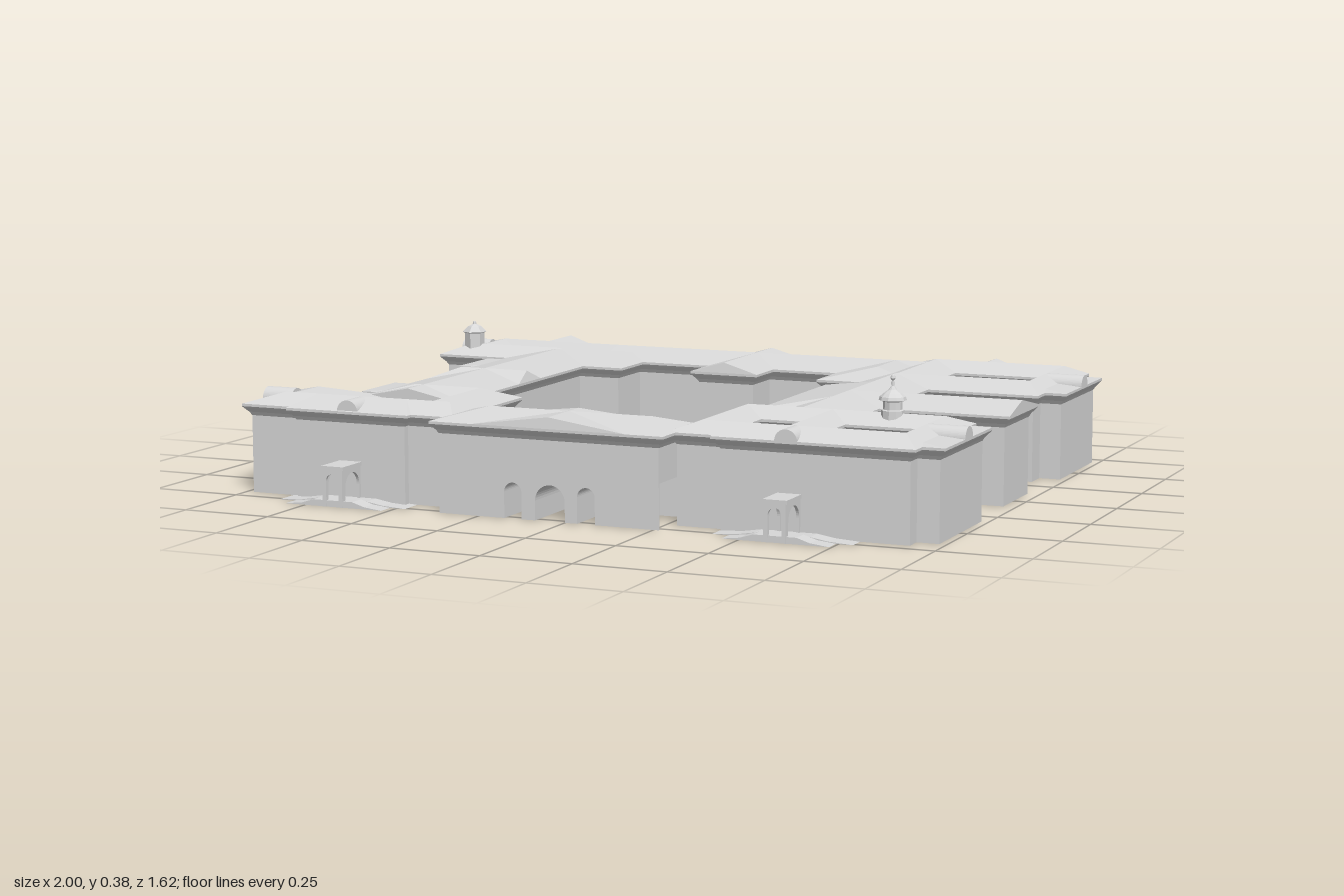
import * as THREE from 'three';

const stone = new THREE.MeshStandardMaterial({ color: 0xd8d8d8, side: THREE.DoubleSide });
stone.name = 'pale grey stone';

const INSET = 0.02; // eave overhang

// Each wing: eave outline x0, x1, z0, z1, then a ridge along an axis at position r
// from a to b, then optional ridge height and wall base.
const wings = {
  // back left court
  backLeftNorthWing: [-1, -0.48, -0.8, -0.61, 'x', -0.64, -0.88, -0.5],
  backLeftGable: [-0.81, -0.65, -0.8, -0.62, 'z', -0.73, -0.795, -0.64, 0.275, 0.2],
  backLeftWestWing: [-1, -0.83, -0.8, -0.433, 'z', -0.88, -0.64, -0.5],
  backLeftSouthWing: [-1, -0.48, -0.53, -0.433, 'x', -0.5, -0.92, -0.5],
  backLeftEastWing: [-0.62, -0.48, -0.8, -0.433, 'z', -0.58, -0.64, -0.5],
  // back range
  backWing: [-0.5, 0.5, -0.765, -0.51, 'x', -0.64, -0.5, 0.5],
  backCentreWing: [-0.145, 0.065, -0.765, -0.38, 'z', -0.04, -0.76, -0.385],
  backLeftCorner: [-0.64, -0.355, -0.7, -0.355, 'x', -0.5, -0.62, -0.48],
  backRightCorner: [0.26, 0.58, -0.765, -0.355, 'z', 0.4, -0.64, -0.48],
  // back right court
  backRightNorthWing: [0.39, 0.94, -0.795, -0.65, 'x', -0.71, 0.5, 0.89],
  backRightGable: [0.58, 0.74, -0.795, -0.69, 'z', 0.66, -0.79, -0.71, 0.275, 0.2],
  backRightSouthWing: [0.39, 0.94, -0.43, -0.29, 'x', -0.375, 0.5, 0.89],
  backRightWestWing: [0.39, 0.58, -0.795, -0.29, 'z', 0.5, -0.71, -0.375],
  backRightEastWing: [0.83, 0.94, -0.795, -0.29, 'z', 0.89, -0.71, -0.375],
  backRightBay: [0.86, 1, -0.72, -0.36, 'z', 0.92, -0.68, -0.4, 0.252],
  // left range
  leftWing: [-0.775, -0.48, -0.48, 0.46, 'z', -0.625, -0.48, 0.46],
  leftCrossGable: [-0.775, -0.48, -0.07, 0.07, 'x', 0, -0.7, -0.49, 0.275, 0.2],
  leftNorthBay: [-0.82, -0.7, -0.4, -0.21, 'z', -0.73, -0.36, -0.25, 0.25],
  leftSouthBay: [-0.82, -0.7, 0.18, 0.37, 'z', -0.73, 0.22, 0.33, 0.25],
  // right range
  rightWing: [0.39, 0.62, -0.375, 0.355, 'z', 0.495, -0.375, 0.355],
  rightInnerBay: [0.32, 0.6, -0.27, 0.225, 'z', 0.495, -0.18, 0.14],
  rightMiddleWing: [0.495, 0.985, -0.145, 0.11, 'x', 0, 0.495, 0.985],
  // front left court
  frontLeftSouthWing: [-1, -0.355, 0.52, 0.71, 'x', 0.64, -0.9, -0.4],
  frontLeftProjection: [-0.85, -0.48, 0.54, 0.73, 'x', 0.64, -0.8, -0.53],
  frontLeftWestWing: [-1, -0.7, 0.42, 0.71, 'z', -0.87, 0.52, 0.64],
  frontLeftNorthWing: [-0.77, -0.355, 0.3, 0.43, 'x', 0.37, -0.65, -0.45],
  frontLeftEastWing: [-0.54, -0.355, 0.3, 0.71, 'z', -0.45, 0.37, 0.64],
  // front range, raised on the arcade
  frontWing: [-0.385, 0.285, 0.55, 0.79, 'x', 0.66, -0.27, 0.2, 0.275, 0.12],
  frontCentreGable: [-0.26, 0.18, 0.55, 0.79, 'z', -0.04, 0.6, 0.785, 0.275, 0.12],
  // front right courts
  frontRightSouthWing: [0.39, 0.94, 0.59, 0.73, 'x', 0.66, 0.39, 0.89],
  frontRightLink: [0.26, 0.45, 0.59, 0.71, 'x', 0.66, 0.34, 0.45],
  frontRightNorthWing: [0.26, 0.94, 0.305, 0.41, 'x', 0.355, 0.34, 0.89],
  frontRightNorthBay: [0.62, 0.94, 0.255, 0.41, 'x', 0.355, 0.66, 0.89],
  frontRightWestWing: [0.26, 0.4, 0.305, 0.71, 'z', 0.34, 0.355, 0.66],
  frontRightMiddleWing: [0.53, 0.635, 0.33, 0.7, 'z', 0.58, 0.355, 0.66],
  frontRightEastWing: [0.83, 0.94, 0.255, 0.73, 'z', 0.89, 0.355, 0.66],
  frontRightBay: [0.86, 1, 0.305, 0.68, 'z', 0.92, 0.34, 0.64, 0.252],
};

// True where a wall point lies inside another wing
const buried = (x, z) => Object.values(wings).some(([x0, x1, z0, z1]) => {
  const i = INSET + 0.001;
  return x > x0 + i && x < x1 - i && z > z0 + i && z < z1 - i;
});

// Walls, flared cornice and ridged roof; wall stretches inside other wings are left out
function wingGeometry(x0, x1, z0, z1, axis, r, a, b, top = 0.275, base = 0) {
  const pos = [];
  const tri = (...p) => p.forEach((v) => pos.push(...v));
  const quad = (p, q, s, t) => tri(p, q, s, p, s, t);
  const mix = (p, q, t) => p.map((v, i) => v + (q[i] - v) * t);
  const loops = [[INSET, base], [INSET, 0.212], [0.014, 0.222], [0.003, 0.234], [0, 0.238], [0, 0.245]].map(
    ([i, y]) => [[x0 + i, y, z1 - i], [x1 - i, y, z1 - i], [x1 - i, y, z0 + i], [x0 + i, y, z0 + i]]);
  for (let i = 0; i < 4; i++) {
    const j = (i + 1) % 4, p = loops[0][i], q = loops[0][j];
    const k = i % 2 ? 2 : 0; // the edge runs along z or x
    const cuts = [0, 1];
    for (const w of Object.values(wings)) {
      const [lo, hi] = k ? [w[2], w[3]] : [w[0], w[1]];
      for (const v of [lo + INSET, hi - INSET]) {
        const t = (v - p[k]) / (q[k] - p[k]);
        if (t > 0 && t < 1) cuts.push(t);
      }
    }
    cuts.sort((s, t) => s - t);
    for (let c = 0; c < cuts.length - 1; c++) {
      const s = cuts[c], t = cuts[c + 1];
      const m = mix(p, q, (s + t) / 2);
      if (t - s < 1e-5 || buried(m[0], m[2])) continue;
      for (let n = 0; n < loops.length - 1; n++) {
        const lower = loops[n], upper = loops[n + 1];
        quad(mix(lower[i], lower[j], s), mix(lower[i], lower[j], t),
          mix(upper[i], upper[j], t), mix(upper[i], upper[j], s));
      }
    }
  }
  const [c0, c1, c2, c3] = loops[loops.length - 1];
  if (axis === 'x') {
    const P = [a, top, r], Q = [b, top, r];
    quad(c0, c1, Q, P); tri(c1, c2, Q); quad(c2, c3, P, Q); tri(c3, c0, P);
  } else {
    const P = [r, top, a], Q = [r, top, b];
    tri(c0, c1, Q); quad(c1, c2, P, Q); tri(c2, c3, P); quad(c3, c0, Q, P);
  }
  const g = new THREE.BufferGeometry();
  g.setAttribute('position', new THREE.Float32BufferAttribute(pos, 3));
  g.computeVertexNormals();
  return g;
}

// Upright panel with arched openings cut up from the ground; arches: [centre, width, height]
function archPanel(x0, x1, h, arches, depth) {
  const s = new THREE.Shape();
  s.moveTo(x0, 0);
  for (const [c, w, t] of arches) {
    const r = w / 2;
    s.lineTo(c - r, 0);
    s.lineTo(c - r, t - r);
    s.absarc(c, t - r, r, Math.PI, 0, true);
    s.lineTo(c + r, 0);
  }
  s.lineTo(x1, 0);
  s.lineTo(x1, h);
  s.lineTo(x0, h);
  return new THREE.ExtrudeGeometry(s, { depth, bevelEnabled: false, curveSegments: 10 });
}

export function createModel() {
  const model = new THREE.Group();
  model.name = 'palace';
  const add = (name, g, x = 0, y = 0, z = 0, parent = model) => {
    const m = new THREE.Mesh(g, stone);
    m.name = name;
    m.position.set(x, y, z);
    parent.add(m);
  };

  for (const [name, args] of Object.entries(wings)) add(name, wingGeometry(...args));

  // carriage arches: front and courtyard walls joined by vaulted passages
  const arches = [[-0.15, 0.05, 0.095], [-0.043, 0.085, 0.095], [0.06, 0.05, 0.095]];
  for (const z of [0.57, 0.765]) add('arcadeWall', archPanel(-0.365, 0.265, 0.13, arches, 0.005), 0, 0, z);
  for (const [c, w, t] of arches)
    add('passage', archPanel(c - w / 2 - 0.004, c + w / 2 + 0.004, t + 0.004, [[c, w, t]], 0.19), 0, 0, 0.575);

  // arched dormers
  const dormer = (x, z, len, alongX) => {
    const s = new THREE.Shape();
    s.absarc(0, 0, 0.031, 0, Math.PI, false);
    const g = new THREE.ExtrudeGeometry(s, { depth: len, bevelEnabled: false, curveSegments: 12 });
    g.translate(0, 0, -len / 2);
    if (alongX) g.rotateY(Math.PI / 2);
    add('dormer', g, x, 0.244, z);
  };
  dormer(-0.665, 0.685, 0.08, false);
  dormer(0.595, 0.69, 0.08, false);
  for (const [x, z] of [[0.945, -0.54], [0.945, 0.495], [-0.955, -0.61], [-0.955, 0.57]])
    dormer(x, z, x > 0 ? 0.11 : 0.09, true);

  // porticoes: arched front and sides, slab on top, and carriage ramps [half width, near, far, height]
  const portico = (name, x, z, turn, w, bays, near, far, ramps = []) => {
    const p = new THREE.Group();
    p.name = name;
    p.position.set(x, 0, z);
    p.rotation.y = turn;
    model.add(p);
    const pitch = w / bays, depth = far - near, mid = (near + far) / 2;
    const openings = Array.from({ length: bays }, (_, i) => [-w / 2 + pitch * (i + 0.5), pitch * 0.62, 0.088]);
    add('porticoFront', archPanel(-w / 2, w / 2, 0.1, openings, 0.008), 0, 0, far - 0.008, p);
    for (const s of [-1, 1]) {
      const side = archPanel(-depth / 2, depth / 2, 0.1, [[0, depth * 0.68, 0.088]], 0.008);
      side.rotateY(Math.PI / 2);
      add('porticoSide', side, s * (w / 2 - 0.004) - 0.004, 0, mid, p);
    }
    add('porticoTop', new THREE.BoxGeometry(w + 0.006, 0.01, depth), 0, 0.104, mid, p);
    for (const [half, from, to, h] of ramps) {
      const s = new THREE.Shape([[-1, 0], [1, 0], [0.65, 0.35], [0.4, 1], [-0.4, 1], [-0.65, 0.35]]
        .map(([u, v]) => new THREE.Vector2(u * half, v * h)));
      add('ramp', new THREE.ExtrudeGeometry(s, { depth: to - from, bevelEnabled: false }), 0, 0, from, p);
    }
  };
  const frontRamps = [[0.19, 0, 0.07, 0.012], [0.145, 0.07, 0.118, 0.017]];
  portico('frontLeftPortico', -0.665, 0.69, 0, 0.06, 1, 0.01, 0.12, frontRamps);
  portico('frontRightPortico', 0.598, 0.69, 0, 0.06, 1, 0.01, 0.12, frontRamps);
  portico('leftPortico', -0.745, -0.01, -Math.PI / 2, 0.04, 1, 0, 0.1, [[0.145, 0, 0.075, 0.017]]);
  portico('backPortico', -0.047, -0.735, Math.PI, 0.165, 4, 0.01, 0.073);

  // roof lanterns
  const turret = (name, x, z, sides, profile) => {
    const g = new THREE.LatheGeometry(profile.map(([r, y]) => new THREE.Vector2(r, y)), sides).toNonIndexed();
    g.computeVertexNormals();
    add(name, g, x, 0, z);
  };
  turret('onionLantern', 0.745, 0.355, 10, [[0.03, 0.25], [0.03, 0.282], [0.025, 0.284], [0.025, 0.305],
    [0.037, 0.309], [0.034, 0.318], [0.024, 0.327], [0.011, 0.336], [0.004, 0.346], [0.003, 0.36],
    [0.007, 0.366], [0.005, 0.373], [0, 0.376]]);
  turret('hexLantern', -0.915, -0.5, 6, [[0.03, 0.24], [0.03, 0.308], [0.036, 0.311], [0.02, 0.328],
    [0.006, 0.334], [0.004, 0.342], [0, 0.344]]);

  return model;
}
